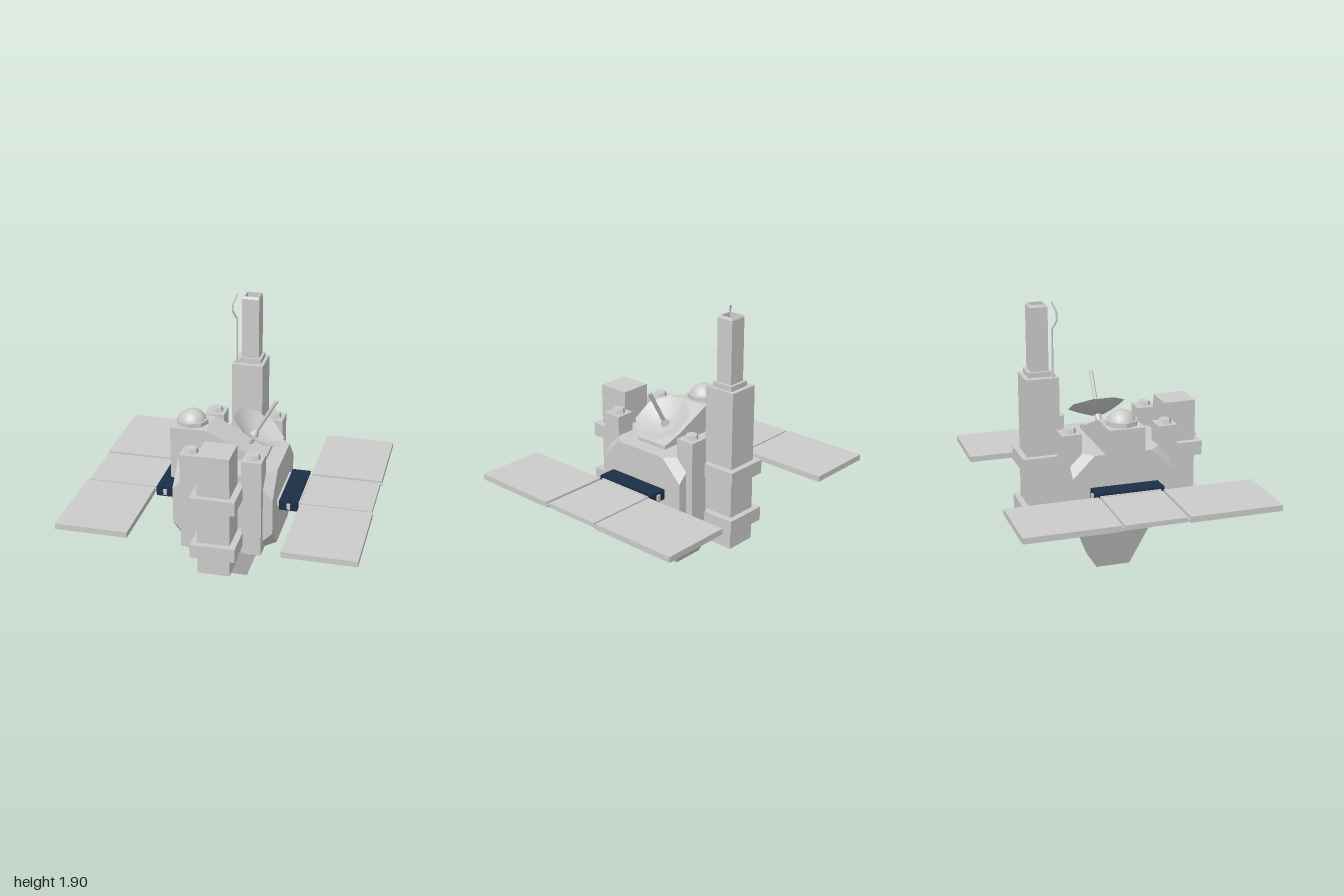
import * as THREE from 'three';
import { ConvexGeometry } from 'three/addons/geometries/ConvexGeometry.js';

export function createModel() {
  const root = new THREE.Group();
  const flat = new THREE.MeshStandardMaterial({ color: 0xcccccc, flatShading: true });
  const smooth = new THREE.MeshStandardMaterial({ color: 0xcccccc });
  const thin = new THREE.MeshStandardMaterial({ color: 0xcccccc, side: THREE.DoubleSide });
  const navy = new THREE.MeshStandardMaterial({ color: 0x1c2f47, flatShading: true });

  const add = (name, geo, mat = flat, parent = root) => {
    const mesh = new THREE.Mesh(geo, mat);
    mesh.name = name;
    parent.add(mesh);
    return mesh;
  };
  // box given by its extents on each axis
  const box = (name, [x0, x1], [y0, y1], [z0, z1], mat, parent) => {
    const m = add(name, new THREE.BoxGeometry(x1 - x0, y1 - y0, z1 - z0), mat, parent);
    m.position.set((x0 + x1) / 2, (y0 + y1) / 2, (z0 + z1) / 2);
    return m;
  };
  // square lathe: profile x is the half width
  const squareLathe = (profile) => new THREE.LatheGeometry(
    profile.map(([h, y]) => new THREE.Vector2(h * Math.SQRT2, y)), 4).rotateY(Math.PI / 4);

  // central body: a box with its eight corners cut off
  const hx = 0.345, hz = 0.35, y0 = 0.35, y1 = 0.91, cut = 0.15;
  const corners = [];
  for (const sx of [-1, 1]) for (const sz of [-1, 1]) for (const [y, sy] of [[y0, 1], [y1, -1]]) {
    corners.push(
      new THREE.Vector3(sx * (hx - cut), y, sz * hz),
      new THREE.Vector3(sx * hx, y + sy * cut, sz * hz),
      new THREE.Vector3(sx * hx, y, sz * (hz - cut)));
  }
  add('body', new ConvexGeometry(corners));

  // tapered foot under the body
  add('taperedBase', squareLathe([[0, 0], [0.12, 0], [0.243, 0.35], [0, 0.35]]));

  // corner pillars with hexagonal bolts at both ends
  for (const sx of [-1, 1]) for (const sz of [-1, 1]) {
    const pillar = new THREE.Group();
    pillar.name = 'cornerPillar';
    pillar.position.set(sx * 0.21, 0, sz * 0.335);
    root.add(pillar);
    box('pillarPost', [-0.068, 0.068], [0.35, 1.045], [-0.067, 0.067], flat, pillar);
    add('topBolt', new THREE.CylinderGeometry(0.04, 0.05, 0.03, 6), flat, pillar).position.y = 1.06;
    add('bottomBolt', new THREE.CylinderGeometry(0.05, 0.04, 0.03, 6), flat, pillar).position.y = 0.335;
  }

  // front and back columns, each strapped to the body by two bands
  for (const [name, side, top] of [['frontColumn', 1, 1.15], ['backColumn', -1, 1.395]]) {
    const column = new THREE.Group();
    column.name = name;
    root.add(column);
    const zs = (a, b) => side > 0 ? [a, b] : [-b, -a];
    box('columnShaft', [-0.11, 0.11], [0.28, top], zs(0.37, 0.595), flat, column);
    for (const y of [0.415, 0.765])
      box('columnBand', [-0.153, 0.153], [y, y + 0.098], zs(0.34, 0.635), flat, column);
  }

  // mast on the back column, hollow at the top
  box('mastCollar', [-0.068, 0.088], [1.39, 1.43], [-0.565, -0.41]);
  const mast = add('mast', squareLathe([
    [0.06, 1.42], [0.06, 1.86], [0.052, 1.875], [0.044, 1.875], [0.044, 1.78], [0, 1.78]]));
  mast.position.set(0.01, 0, -0.485);

  // bent whip antenna
  const whip = new THREE.CurvePath();
  const bends = [[-0.08, 1.39, -0.405], [-0.08, 1.72, -0.405], [-0.105, 1.78, -0.38],
    [-0.105, 1.83, -0.38], [-0.08, 1.898, -0.405]].map(p => new THREE.Vector3(...p));
  for (let i = 1; i < bends.length; i++) whip.add(new THREE.LineCurve3(bends[i - 1], bends[i]));
  add('whipAntenna', new THREE.TubeGeometry(whip, 48, 0.006, 6), thin);
  add('antennaFoot', new THREE.CylinderGeometry(0.011, 0.011, 0.02, 6)).position.set(-0.08, 1.405, -0.405);

  // side tower sloping down across the roof
  const profile = new THREE.Shape([[-0.42, 0.72], [-0.3, 0.72], [0.24, 0.85], [0.24, 0.935],
    [0.11, 0.972], [-0.17, 1.1], [-0.42, 1.1]].map(p => new THREE.Vector2(...p)));
  add('slopedTower', new THREE.ExtrudeGeometry(profile, { depth: 0.25, bevelEnabled: false })
    .translate(0, 0, -0.125));

  // dome on an octagonal ring
  add('domeRing', new THREE.CylinderGeometry(0.112, 0.112, 0.032, 8)).position.set(-0.295, 1.115, 0);
  add('dome', new THREE.SphereGeometry(0.1, 24, 10, 0, Math.PI * 2, 0, Math.PI / 2), smooth)
    .position.set(-0.295, 1.097, 0);

  // tilted octagonal dish with its feed arm
  const dish = new THREE.Group();
  dish.name = 'dishAntenna';
  dish.position.set(0.163, 1.095, -0.03);
  dish.rotation.z = -Math.PI / 6;
  root.add(dish);
  const bowl = [[0, -0.072], [0.06, -0.065], [0.13, -0.036], [0.2, 0]].map(p => new THREE.Vector2(...p));
  add('dishBowl', new THREE.LatheGeometry(bowl, 8).rotateY(Math.PI / 8), thin, dish);
  add('feedArm', new THREE.CylinderGeometry(0.014, 0.014, 0.3, 10), smooth, dish).position.y = 0.085;
  add('feedTip', new THREE.SphereGeometry(0.014, 10, 6), smooth, dish).position.y = 0.235;
  add('feedBase', new THREE.CylinderGeometry(0.015, 0.032, 0.04, 10), smooth, dish).position.y = -0.045;
  add('dishMount', new THREE.CylinderGeometry(0.025, 0.025, 0.1, 8), flat, dish).position.y = -0.11;

  // solar wings: bracket frame, axle, three panels and hinge rods
  const rect = (Type, w, h) => new Type([[-w, -h], [w, -h], [w, h], [-w, h]].map(p => new THREE.Vector2(...p)));
  for (const side of [-1, 1]) {
    const wing = new THREE.Group();
    wing.name = side > 0 ? 'leftSolarWing' : 'rightSolarWing';
    wing.position.y = 0.663;
    if (side < 0) wing.rotation.y = Math.PI;
    root.add(wing);
    const frame = rect(THREE.Shape, 0.237, 0.034);
    frame.holes.push(rect(THREE.Path, 0.212, 0.021));
    add('wingBracket', new THREE.ExtrudeGeometry(frame, { depth: 0.128, bevelEnabled: false })
      .rotateY(Math.PI / 2), navy, wing).position.x = 0.365;
    box('bracketCore', [0.34, 0.505], [-0.02, 0.02], [-0.211, 0.211], flat, wing);
    box('bracketAxle', [0.418, 0.442], [-0.02, 0.02], [-0.25, 0.25], flat, wing);
    box('middlePanel', [0.5, 0.988], [-0.016, 0.016], [-0.207, 0.207], flat, wing);
    for (const s of [-1, 1]) {
      const z = s > 0 ? [0.225, 0.858] : [-0.858, -0.225];
      box('outerPanel', [0.505, 0.995], [-0.02, 0.02], z, flat, wing);
      const rod = add('hingeRod', new THREE.CylinderGeometry(0.01, 0.01, 0.5, 8).rotateZ(Math.PI / 2), smooth, wing);
      rod.position.set(0.75, 0, s * 0.217);
    }
  }
  return root;
}
